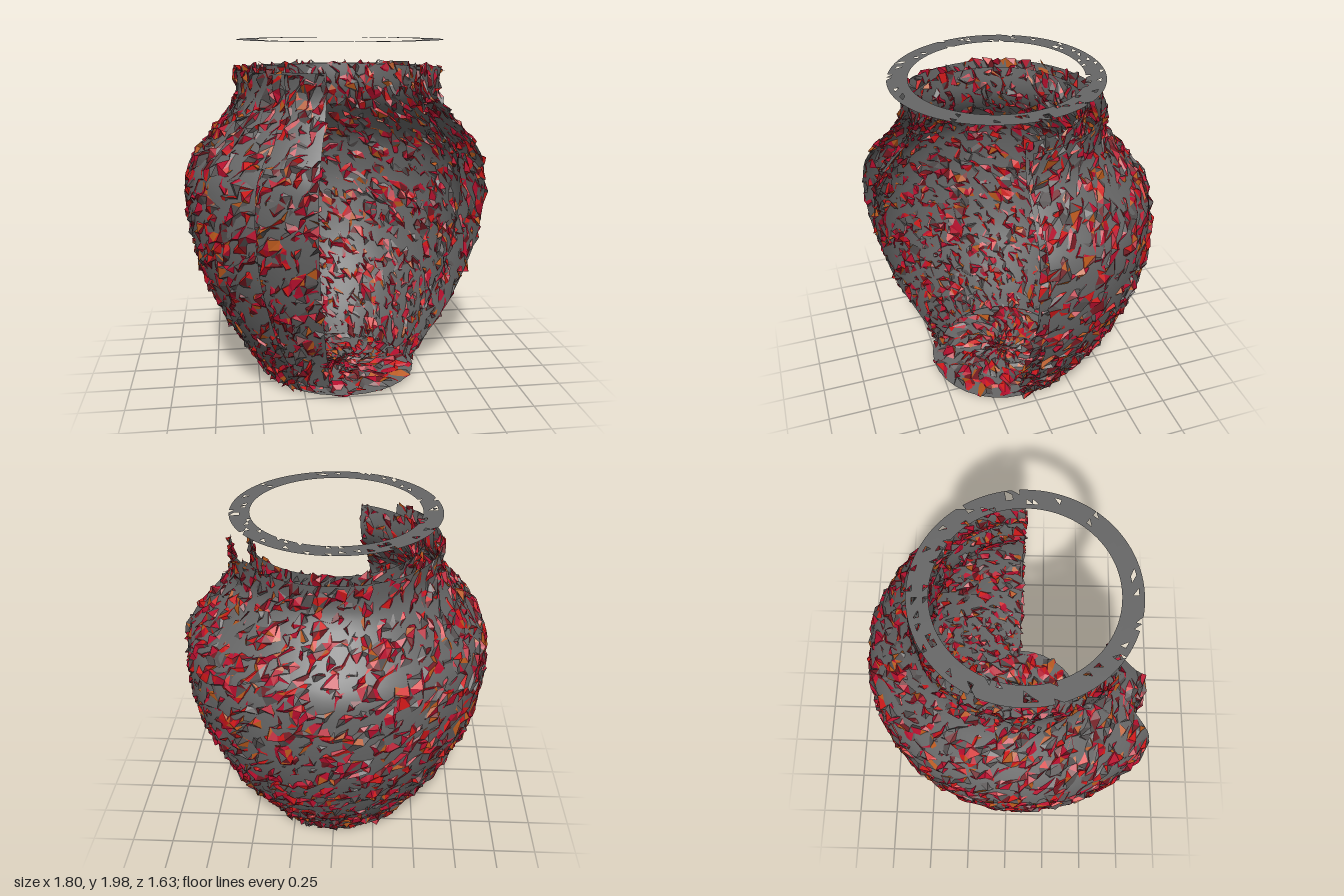
import * as THREE from 'three';

const CENTER_Z = 0.08;
const RAD = Math.PI / 180;

// Small seeded generator
let seed = 7;
function rnd() {
  seed = (seed * 1664525 + 1013904223) % 4294967296;
  return seed / 4294967296;
}
const jitter = (a) => (rnd() - 0.5) * 2 * a;

const paint = (color, flatShading = true) =>
  new THREE.MeshStandardMaterial({ color, flatShading, side: THREE.DoubleSide });

const STONE = 0x666666;
// Shard colours with the share of facets each one takes; the rest is left open
const SHARDS = [
  { name: 'Crimson', color: 0xb80f2e, share: 0.27 },
  { name: 'Red', color: 0xd01818, share: 0.13 },
  { name: 'DarkRed', color: 0x701820, share: 0.14 },
  { name: 'Orange', color: 0xb8581c, share: 0.07 },
  { name: 'Grey', color: 0x555050, share: 0.3 },
];

function meshFrom(positions, name, material) {
  const g = new THREE.BufferGeometry();
  g.setAttribute('position', new THREE.Float32BufferAttribute(positions, 3));
  g.computeVertexNormals();
  const m = new THREE.Mesh(g, material);
  m.name = name;
  return m;
}

// Walks the triangles of a grid of points, with optional roughness
function eachTriangle(point, nu, nv, rough, use) {
  const grid = [];
  for (let j = 0; j <= nv; j++) {
    for (let i = 0; i <= nu; i++) {
      const p = point(i / nu, j / nv);
      grid.push([p.x + jitter(rough), p.y + jitter(rough), p.z + jitter(rough)]);
    }
  }
  for (let j = 0; j < nv; j++) {
    for (let i = 0; i < nu; i++) {
      const a = j * (nu + 1) + i, b = a + 1, c = a + nu + 1, d = c + 1;
      use(grid[a], grid[b], grid[d]);
      use(grid[a], grid[d], grid[c]);
    }
  }
}

// Rough broken crust, one mesh per colour
function crust(name, point, nu, nv, rough) {
  const group = new THREE.Group();
  group.name = name;
  const buckets = SHARDS.map(() => []);
  eachTriangle(point, nu, nv, rough, (a, b, c) => {
    let r = rnd();
    const k = SHARDS.findIndex((s) => (r -= s.share) < 0);
    if (k >= 0) buckets[k].push(...a, ...b, ...c);
  });
  SHARDS.forEach((s, k) => group.add(meshFrom(buckets[k], name + s.name, paint(s.color))));
  return group;
}

// Point on a circle of radius r; angle 0 is the front, 90 degrees is +x
const polar = (r, y, angle) =>
  new THREE.Vector3(r * Math.sin(angle), y, CENTER_Z + r * Math.cos(angle));

// Open wall turned from a profile, smooth core plus crust
function wall(name, profile, from, to) {
  const group = new THREE.Group();
  group.name = name;
  const curve = new THREE.SplineCurve(profile.map(([r, y]) => new THREE.Vector2(r, y)));
  const point = (u, v) => {
    const p = curve.getPointAt(v);
    return polar(p.x, p.y, (from + (to - from) * u) * RAD);
  };
  const core = new THREE.LatheGeometry(curve.getSpacedPoints(40), 40, from * RAD, (to - from) * RAD);
  const coreMesh = new THREE.Mesh(core, paint(STONE, false));
  coreMesh.name = name + 'Core';
  coreMesh.position.z = CENTER_Z;
  group.add(coreMesh, crust(name + 'Crust', point, 84, 54, 0.023));
  return group;
}

export function createModel() {
  seed = 7;
  const model = new THREE.Group();
  model.name = 'brokenVase';

  // Outer and inner walls, both open at the front right
  model.add(wall('outerWall', [
    [0.45, 0.04], [0.55, 0.2], [0.68, 0.4], [0.77, 0.6], [0.84, 0.8], [0.875, 1.0],
    [0.88, 1.15], [0.85, 1.33], [0.72, 1.5], [0.62, 1.62], [0.58, 1.71], [0.59, 1.84],
  ], 90, 324));
  model.add(wall('innerWall', [
    [0.4, 0.06], [0.45, 0.2], [0.54, 0.4], [0.63, 0.6], [0.69, 0.8], [0.725, 1.0],
    [0.73, 1.15], [0.7, 1.33], [0.6, 1.48], [0.51, 1.6], [0.47, 1.71], [0.48, 1.84],
  ], 90, 344));

  // Base plate with a rough floor on it
  const base = new THREE.Mesh(new THREE.CircleGeometry(0.45, 32), paint(STONE));
  base.name = 'basePlate';
  base.rotation.x = -Math.PI / 2;
  base.position.set(0, 0.04, CENTER_Z);
  model.add(base);
  model.add(crust('floorCrust', (u, v) => polar(0.44 * v, 0.045, u * Math.PI * 2), 56, 11, 0.022));

  // Flat rim ring hanging above the neck, with small chips missing
  const ring = [];
  eachTriangle((u, v) => polar(0.47 + 0.11 * v, 2, u * Math.PI * 2), 96, 4, 0, (a, b, c) => {
    if (rnd() > 0.06) ring.push(...a, ...c, ...b);
  });
  model.add(meshFrom(ring, 'rimRing', paint(STONE)));

  return model;
}
